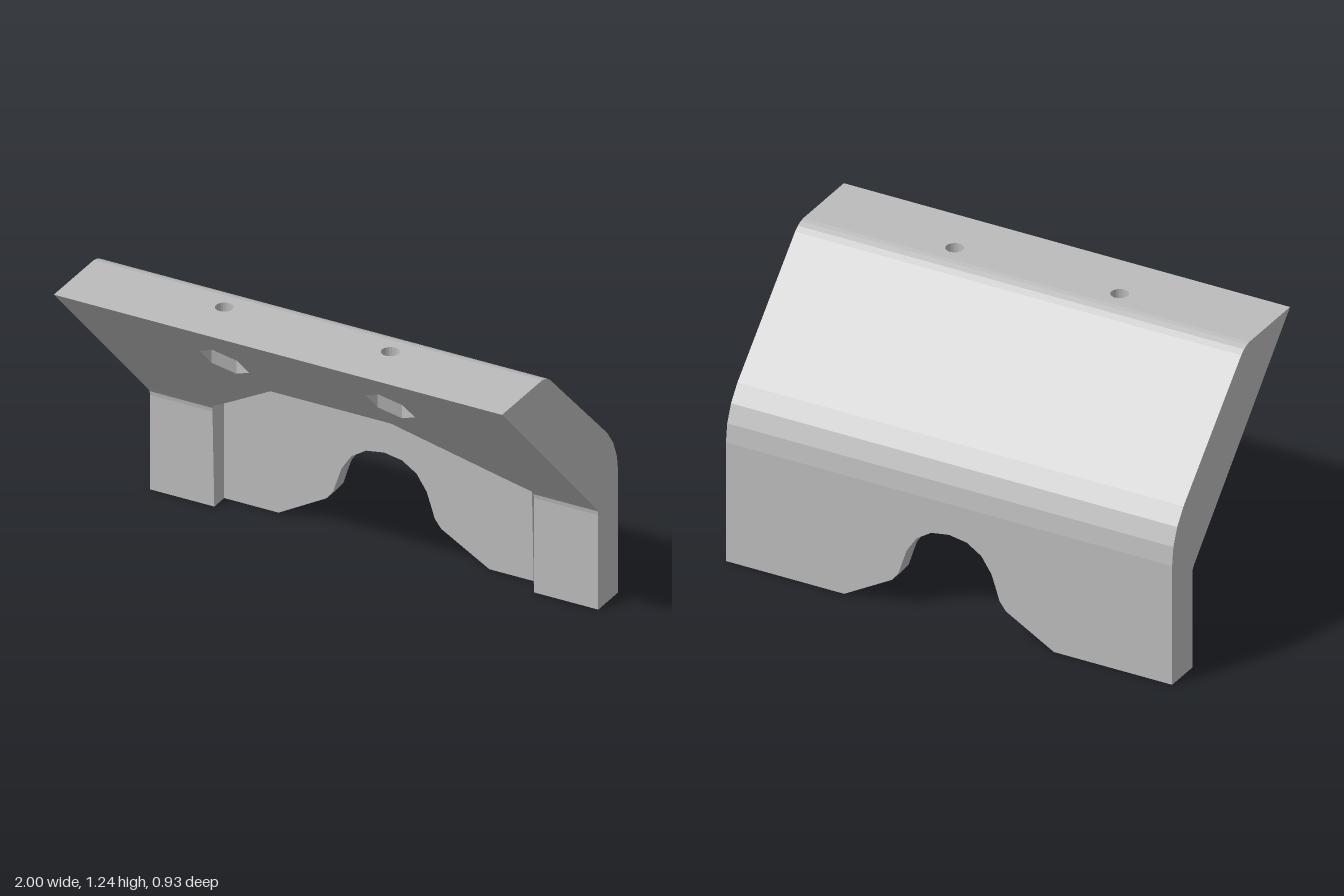
import * as THREE from 'three';

const SLOPE = 1.034;                                   // rise of the leaning plate per unit of z
const BACK = -0.465, LEG = -0.305, WALL = -0.384;      // depths of back, legs and recess wall
const TOP = 1.235, CEILING = 1.125, CORNER = 0.53;
const FOOT = 0.455, FOOT_Z = 0.465 - (TOP - FOOT) / SLOPE;
const HOLE_X = 0.37, HOLE_Z = 0.23;

const frontZ = y => 0.465 - (TOP - y) / SLOPE;         // leaning front plane
const frontY = z => TOP - (0.465 - z) * SLOPE;
const floorZ = y => WALL + Math.max(0, y - CORNER) / SLOPE;  // recess floor

// Mirror the right half of an outline (listed from the outside to the centre)
const mirrored = half => [...half.map(([x, y]) => [-x, y]), ...half.slice(0, -1).reverse()];

const recessOutline = mirrored([
  [0.713, 0], [0.713, FOOT], [0.612, CORNER], [0.2, 0.852], [0.15, 0.885],
  [0.1, 0.91], [0.05, 0.924], [0, 0.928]]);
const archOutline = mirrored([
  [0.713, 0], [0.47, 0], [0.255, 0.122], [0.226, 0.16], [0.212, 0.205], [0.19, 0.27],
  [0.145, 0.338], [0.08, 0.38], [0, 0.393]]);

// Side profile as [z, y]
const backProfile = [
  [0.145, TOP], [0.125, 1.231], [0.102, 1.222], [0.08, 1.206], [-0.375, 0.753],
  [-0.425, 0.685], [-0.455, 0.61], [BACK, CORNER]];
const legProfile = [[BACK, 0], [LEG, 0], [LEG, 0.42], [-0.302, 0.438], [FOOT_Z, FOOT]];

const vec = pts => pts.map(([x, y]) => new THREE.Vector2(x, y));

// Flat sheet in x, y with optional holes, pushed to the depth z(y)
function sheet(points, z = () => 0, holes = []) {
  const shape = new THREE.Shape(vec(points));
  holes.forEach(h => shape.holes.push(new THREE.Path(vec(h))));
  const g = new THREE.ShapeGeometry(shape);
  const p = g.attributes.position;
  for (let i = 0; i < p.count; i++) p.setZ(i, z(p.getY(i)));
  g.computeVertexNormals();
  return g;
}

// Faceted strip joining two rows of points
function ribbon(a, b) {
  const out = [];
  for (let i = 0; i < a.length - 1; i++) {
    out.push(...a[i], ...a[i + 1], ...b[i + 1], ...a[i], ...b[i + 1], ...b[i]);
  }
  const g = new THREE.BufferGeometry();
  g.setAttribute('position', new THREE.Float32BufferAttribute(out, 3));
  g.computeVertexNormals();
  return g;
}

// Strip following a [z, y] profile from x0 to x1
const span = (profile, x0, x1) => ribbon(
  profile.map(([z, y]) => [x1, y, z]), profile.map(([z, y]) => [x0, y, z]));

// Ring of [x, z] points around a bolt axis
const ring = (cx, r, n, start = 0) => Array.from({ length: n }, (_, i) => {
  const t = start + i / n * Math.PI * 2;
  return [cx + r * Math.cos(t), HOLE_Z + r * Math.sin(t)];
});

export function createModel() {
  const group = new THREE.Group();
  const grey = new THREE.MeshStandardMaterial({ color: 0xbbbbbb, side: THREE.DoubleSide });
  grey.name = 'plain grey';
  const add = (name, geometry) => {
    const mesh = new THREE.Mesh(geometry, grey);
    mesh.name = name;
    group.add(mesh);
    return mesh;
  };

  const bolts = [-HOLE_X, HOLE_X].map(x => ({
    x, hex: ring(x, 0.096, 6, Math.PI / 6), bore: ring(x, 0.037, 20) }));

  // End faces
  const end = [...legProfile, [0.465, TOP], ...backProfile];
  add('leftEnd', sheet(end.map(([z, y]) => [-z, y])).rotateY(Math.PI / 2)).position.x = 1;
  add('rightEnd', sheet(end).rotateY(-Math.PI / 2)).position.x = -1;

  // Leaning front, opened for the recess and the nut pockets
  const opening = recessOutline.slice(1, -1);
  add('leaningFront', sheet(
    [[-1, FOOT], ...opening, [1, FOOT], [1, TOP], [-1, TOP]], frontZ,
    bolts.map(b => b.hex.map(([x, z]) => [x, frontY(z)]))));

  // Legs on either side of the recess
  add('rightLeg', span(legProfile, -1, -0.713));
  add('leftLeg', span(legProfile, 0.713, 1));

  // Recess: upright wall, leaning floor and rim
  add('recessWall', sheet([...archOutline, [0.713, FOOT], [0.612, CORNER],
    [-0.612, CORNER], [-0.713, FOOT]], () => WALL));
  add('recessFloor', sheet(recessOutline.slice(2, -2), floorZ));
  add('recessRim', ribbon(
    recessOutline.map(([x, y]) => [x, y, floorZ(y)]),
    recessOutline.map(([x, y]) => [x, y, y < FOOT ? LEG : frontZ(y)])));

  // Arch cut through the upright plate
  add('archEdge', ribbon(
    archOutline.map(([x, y]) => [x, y, BACK]),
    archOutline.map(([x, y]) => [x, y, WALL])));

  // Back: rounded bends, leaning plate and upright plate
  add('leaningBack', span(backProfile, -1, 1));
  const backWall = sheet([[-1, 0], ...archOutline, [1, 0], [1, CORNER], [-1, CORNER]]);
  add('backWall', backWall.rotateY(Math.PI)).position.z = BACK;

  // Top edge with the bolt holes
  add('topEdge', sheet([[-1, -0.465], [1, -0.465], [1, -0.145], [-1, -0.145]], () => 0,
    bolts.map(b => b.bore.map(([x, z]) => [x, -z]))).rotateX(-Math.PI / 2)).position.y = TOP;

  // Nut pockets and bolt bores
  for (const { hex, bore } of bolts) {
    const hexLoop = [...hex, hex[0]], boreLoop = [...bore, bore[0]];
    add('nutPocket', ribbon(
      hexLoop.map(([x, z]) => [x, frontY(z), z]),
      hexLoop.map(([x, z]) => [x, CEILING, z])));
    add('nutSeat', sheet(hex, () => 0, [bore]).rotateX(Math.PI / 2)).position.y = CEILING;
    add('boltBore', ribbon(
      boreLoop.map(([x, z]) => [x, CEILING, z]),
      boreLoop.map(([x, z]) => [x, TOP, z])));
  }
  return group;
}
